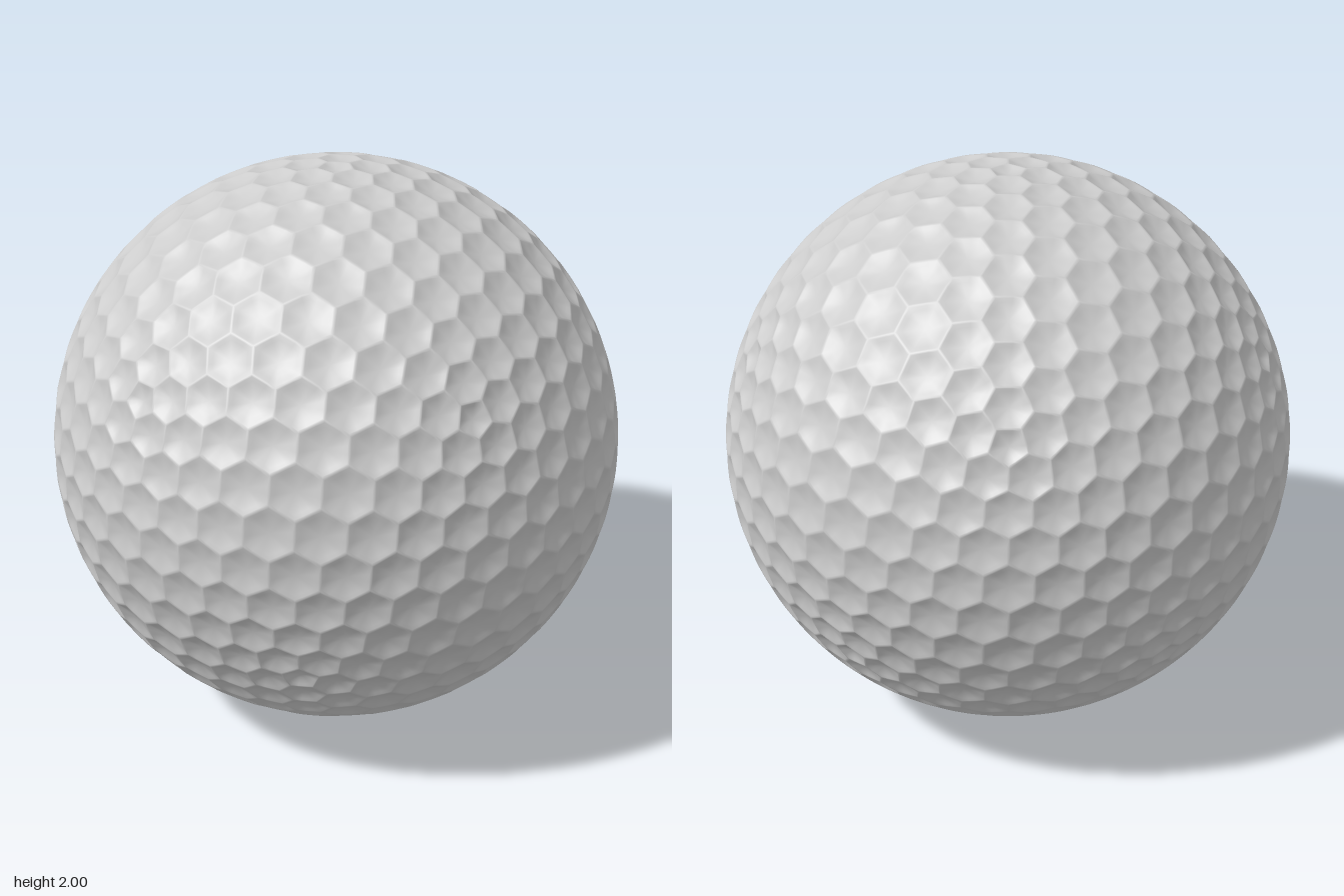
import * as THREE from 'three';
import { mergeVertices } from 'three/addons/utils/BufferGeometryUtils.js';

const DEPTH = 0.017; // dimple depth
const SPLITS = 3; // pieces per cell edge
// rings of one dimple: [share of the way to the ridge, share of the full height]
const RINGS = [[0.3, 0.09], [0.55, 0.31], [0.77, 0.62], [0.92, 0.91], [1, 1]];

// Subdivided icosahedron with a corner at the pole; each vertex is a dimple centre
function dimpleLayout() {
  let ico = new THREE.IcosahedronGeometry(1, 7);
  ico.deleteAttribute('normal');
  ico.deleteAttribute('uv');
  ico.rotateX(-Math.atan((1 + Math.sqrt(5)) / 2));
  ico.rotateY(Math.PI / 10);
  ico = mergeVertices(ico, 1e-3);
  const pos = ico.attributes.position;
  const cells = [];
  for (let i = 0; i < pos.count; i++) {
    cells.push({ centre: new THREE.Vector3().fromBufferAttribute(pos, i).normalize(), corners: [] });
  }
  // The middle of every triangle is a corner of the three cells around it
  for (let i = 0; i < ico.index.count; i += 3) {
    const trio = [0, 1, 2].map((k) => cells[ico.index.getX(i + k)]);
    const middle = new THREE.Vector3();
    trio.forEach((c) => middle.add(c.centre));
    middle.normalize();
    trio.forEach((c) => c.corners.push(middle));
  }
  return cells;
}

// Sort the corners anticlockwise as seen from outside
function sortCorners({ centre, corners }) {
  const u = corners[0].clone().sub(centre).projectOnPlane(centre).normalize();
  const v = centre.clone().cross(u);
  const angle = (p) => Math.atan2(p.dot(v), p.dot(u));
  return corners.slice().sort((a, b) => angle(a) - angle(b));
}

// One bowl: round at the bottom, six- or five-sided at the ridge
function addDimple(cell, points, index) {
  const { centre } = cell;
  const corners = sortCorners(cell);
  const rim = [];
  corners.forEach((a, i) => {
    const b = corners[(i + 1) % corners.length];
    for (let k = 0; k < SPLITS; k++) rim.push(a.clone().lerp(b, k / SPLITS).normalize());
  });
  const n = rim.length;
  const mean = rim.reduce((sum, p) => sum + p.distanceTo(centre), 0) / n;
  const start = points.length / 3;
  const push = (p, h) => points.push(...p.clone().setLength(1 - DEPTH * (1 - h)).toArray());

  push(centre, 0);
  for (const [t, h] of RINGS) {
    for (const p of rim) {
      const round = mean / p.distanceTo(centre);
      push(centre.clone().lerp(p, t * THREE.MathUtils.lerp(round, 1, t)), h);
    }
  }
  for (let j = 0; j < n; j++) {
    const k = (j + 1) % n;
    index.push(start, start + 1 + j, start + 1 + k);
    for (let r = 0; r < RINGS.length - 1; r++) {
      const a = start + 1 + r * n;
      const b = a + n;
      index.push(a + j, b + j, b + k, a + j, b + k, a + k);
    }
  }
}

export function createModel() {
  const points = [];
  const index = [];
  dimpleLayout().forEach((cell) => addDimple(cell, points, index));

  let geometry = new THREE.BufferGeometry();
  geometry.setAttribute('position', new THREE.Float32BufferAttribute(points, 3));
  geometry.setIndex(index);
  geometry = mergeVertices(geometry, 1e-4);
  geometry.computeVertexNormals();
  geometry.computeBoundingBox();
  geometry.translate(0, -geometry.boundingBox.min.y, 0);

  const ball = new THREE.Mesh(geometry, new THREE.MeshStandardMaterial({ color: 0xcccccc }));
  ball.name = 'dimpledBall';
  const group = new THREE.Group();
  group.name = 'golfBall';
  group.add(ball);
  return group;
}
